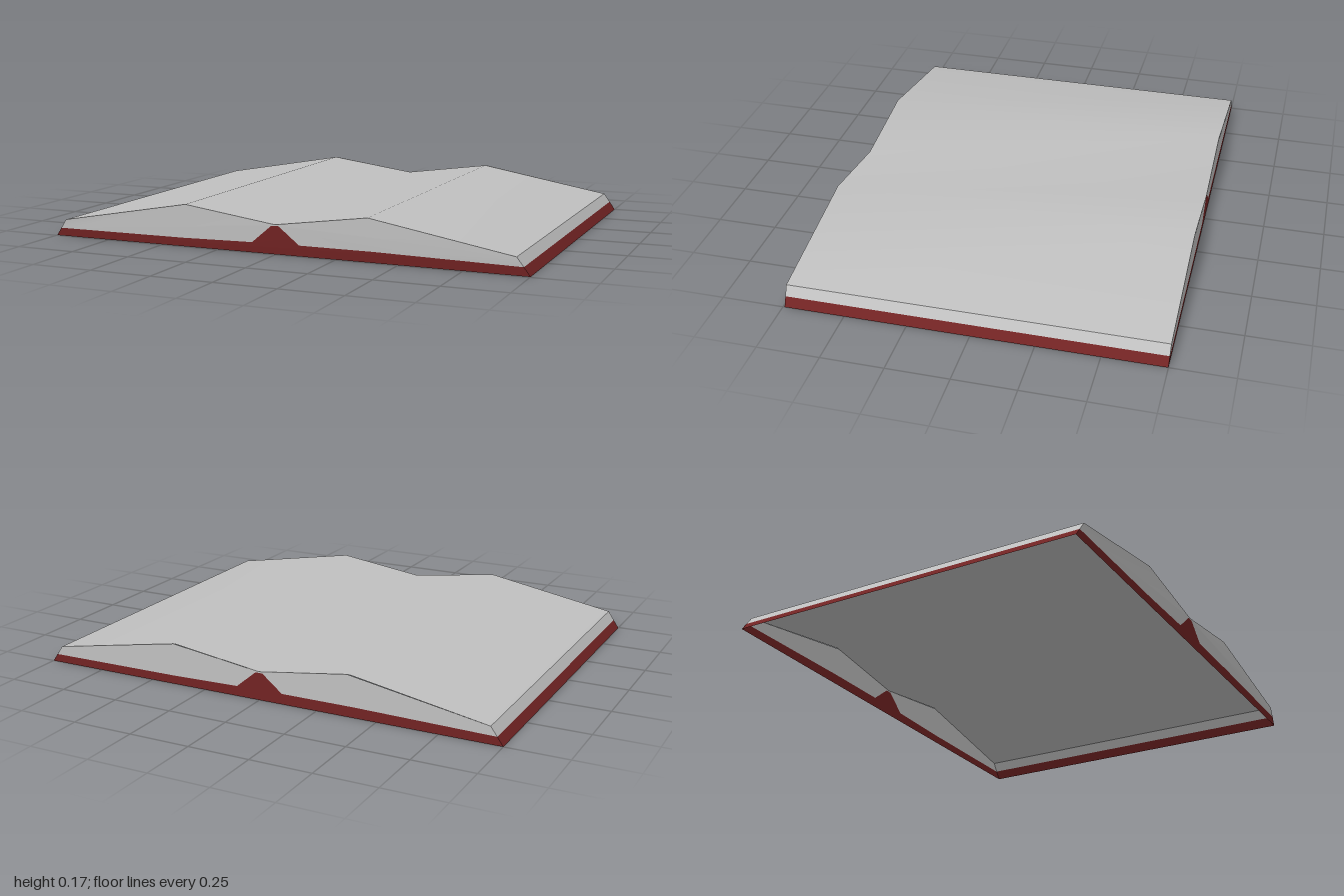
import * as THREE from 'three';

const paper = new THREE.MeshStandardMaterial({ color: 0xc0c0c0, side: THREE.DoubleSide });
paper.name = 'paper grey';
const leather = new THREE.MeshStandardMaterial({ color: 0x722323, side: THREE.DoubleSide });
leather.name = 'cover red';

const DEPTH = 0.75;
// The front wall leans in slightly towards its foot
const frontZ = (y) => DEPTH - 0.007 * Math.max(0, 1 - y / 0.07);

// Profiles across the open book, from left page edge to right page edge
const pageLine = [[-0.95, 0.07], [-0.39, 0.17], [0, 0.117], [0.38, 0.17], [0.95, 0.07]];
const coverLine = [[-0.976, 0.033], [-0.4, 0.035], [-0.1, 0.041], [-0.015, 0.112],
  [0.015, 0.112], [0.1, 0.043], [0.4, 0.043], [0.976, 0.034]];

// Smooth sheet following a profile from front to back
function sheet(points) {
  const pos = [], index = [];
  points.forEach(([x, y], i) => {
    pos.push(x, y, frontZ(y), x, y, -DEPTH);
    if (i) {
      const a = 2 * (i - 1);
      index.push(a, a + 2, a + 1, a + 1, a + 2, a + 3);
    }
  });
  const geo = new THREE.BufferGeometry();
  geo.setAttribute('position', new THREE.Float32BufferAttribute(pos, 3));
  geo.setIndex(index);
  geo.computeVertexNormals();
  return geo;
}

// Flat end wall with the given outline
function endWall(outline, isFront) {
  const geo = new THREE.ShapeGeometry(new THREE.Shape(outline.map(([x, y]) => new THREE.Vector2(x, y))));
  if (!isFront) return geo.rotateY(Math.PI).translate(0, 0, -DEPTH);
  const p = geo.attributes.position;
  for (let i = 0; i < p.count; i++) p.setZ(i, frontZ(p.getY(i)));
  geo.computeVertexNormals();
  return geo;
}

export function createModel() {
  const book = new THREE.Group();
  book.name = 'openBook';
  const add = (name, geo, mat) => {
    const mesh = new THREE.Mesh(geo, mat);
    mesh.name = name;
    book.add(mesh);
  };

  // Open pages
  add('pageSurface', sheet(pageLine), paper);

  // Sloping outer edges, cover below and page block above
  add('rightCoverEdge', sheet([[-1, 0], [-0.976, 0.033]]), leather);
  add('rightPageEdge', sheet([[-0.976, 0.033], [-0.95, 0.07]]), paper);
  add('leftCoverEdge', sheet([[0.976, 0.034], [1, 0]]), leather);
  add('leftPageEdge', sheet([[0.95, 0.07], [0.976, 0.034]]), paper);

  // Head and foot of the book, with the spine rising to the gutter
  const coverOutline = [[-1, 0], [1, 0], ...[...coverLine].reverse()];
  const pageOutline = [...coverLine, ...[...pageLine].reverse()];
  for (const isFront of [true, false]) {
    const end = isFront ? 'front' : 'back';
    add(end + 'CoverAndSpine', endWall(coverOutline, isFront), leather);
    add(end + 'PageBlock', endWall(pageOutline, isFront), paper);
  }
  return book;
}
